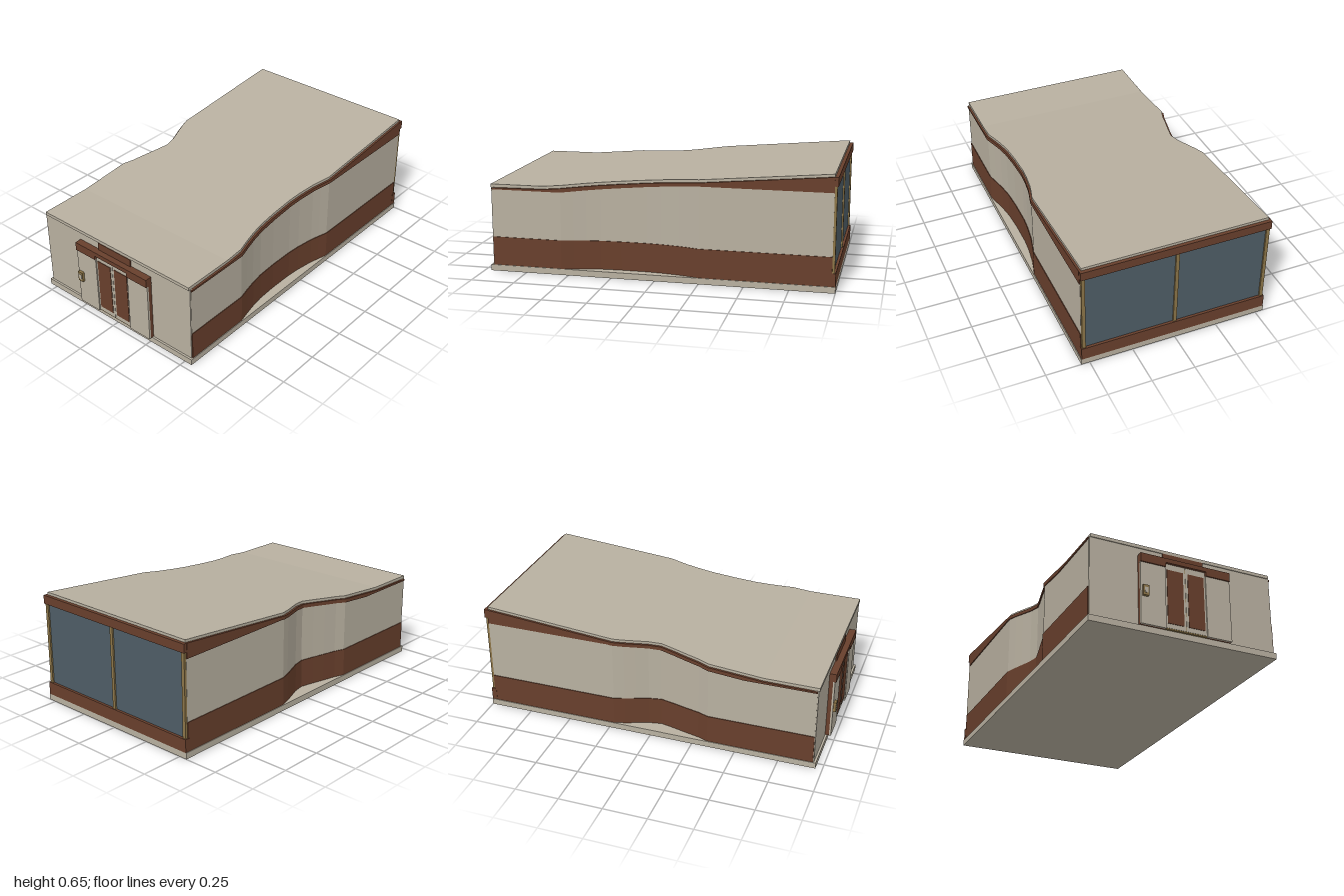
import * as THREE from 'three';

const mat = (name, color) => {
  const m = new THREE.MeshStandardMaterial({ color });
  m.name = name;
  return m;
};

// Piecewise linear lookup in [z, value] pairs sorted by rising z
function lerpAt(pts, z) {
  if (z <= pts[0][0]) return pts[0][1];
  for (let i = 1; i < pts.length; i++) {
    const [z0, v0] = pts[i - 1], [z1, v1] = pts[i];
    if (z <= z1) return v0 + (v1 - v0) * (z - z0) / (z1 - z0);
  }
  return pts[pts.length - 1][1];
}

// Solid with a rectangular section [x0, x1, y0, y1] at every z station
function loft(zs, section) {
  const pos = [], idx = [], n = zs.length;
  for (const z of zs) {
    const [x0, x1, y0, y1] = section(z);
    pos.push(x0, y0, z, x1, y0, z, x1, y1, z, x0, y1, z);
  }
  for (let i = 0; i < n - 1; i++) {
    for (let c = 0; c < 4; c++) {
      const a = i * 4 + c, a1 = i * 4 + (c + 1) % 4;
      idx.push(a, a1, a1 + 4, a, a1 + 4, a + 4);
    }
  }
  const e = (n - 1) * 4;
  idx.push(0, 2, 1, 0, 3, 2, e, e + 1, e + 2, e, e + 2, e + 3);
  const g = new THREE.BufferGeometry();
  g.setAttribute('position', new THREE.Float32BufferAttribute(pos, 3));
  g.setIndex(idx);
  const flat = g.toNonIndexed();
  flat.computeVertexNormals();
  return flat;
}

export function createModel() {
  const model = new THREE.Group();
  model.name = 'pavilion';
  const beige = mat('beige plaster', 0xb8b0a0);
  const brown = mat('brown cladding', 0x683f2c);
  const glass = mat('blue grey glass', 0x4e5d66);
  const tan = mat('bronze trim', 0x8c7548);

  const add = (name, geometry, material) => {
    const m = new THREE.Mesh(geometry, material);
    m.name = name;
    model.add(m);
  };
  // Box given by its limits
  const box = (name, material, x0, x1, y0, y1, z0, z1) => {
    const g = new THREE.BoxGeometry(x1 - x0, y1 - y0, z1 - z0);
    g.translate((x0 + x1) / 2, (y0 + y1) / 2, (z0 + z1) / 2);
    add(name, g, material);
  };

  // Distance of each side wall from the centre line
  const leftWall = [[-0.25, 0.54], [-0.19, 0.524], [-0.135, 0.511], [-0.03, 0.496], [0.05, 0.49],
    [0.2, 0.49], [0.32, 0.496], [0.4, 0.508], [0.47, 0.523], [0.54, 0.54]];
  const rightWall = [[-0.22, 0.54], [-0.16, 0.522], [-0.1, 0.5], [-0.03, 0.474], [0.04, 0.46],
    [0.12, 0.478], [0.2, 0.499], [0.28, 0.518], [0.34, 0.54]];
  const roofTop = [[-0.98, 0.65], [0.65, 0.506], [0.96, 0.505]];
  const roofUnder = [[-0.98, 0.635], [0.65, 0.49], [0.96, 0.486]];
  const beigeTop = [[-0.25, 0.55], [0.54, 0.477]];
  const bend = 0.65;

  // Base
  box('base', beige, -0.548, 0.548, 0, 0.035, -1, 0.962);

  // Curving side walls: plinth band, plaster and sloping fascia
  const wallBand = (name, material, side, wall, out, lo, hi) => {
    const zs = [...new Set([-0.98, ...wall.map(p => p[0]), -0.25, 0.54, bend, 0.945])].sort((a, b) => a - b);
    add(name, loft(zs, z => {
      const x = lerpAt(wall, z) + out;
      return side > 0 ? [x - 0.03, x, lo(z), hi(z)] : [-x, -x + 0.03, lo(z), hi(z)];
    }), material);
  };
  for (const [label, side, wall] of [['left', 1, leftWall], ['right', -1, rightWall]]) {
    wallBand(label + 'Plinth', brown, side, wall, 0.004, () => 0.035, () => 0.2);
    wallBand(label + 'Wall', beige, side, wall, 0, () => 0.19, z => lerpAt(beigeTop, z) + 0.005);
    wallBand(label + 'Fascia', brown, side, wall, 0.006, z => lerpAt(beigeTop, z), z => lerpAt(roofUnder, z));
  }

  // Roof slab following both walls
  const roofZ = [...new Set([-0.98, ...leftWall.map(p => p[0]), ...rightWall.map(p => p[0]), bend, 0.955])]
    .sort((a, b) => a - b);
  add('roof', loft(roofZ, z => [-lerpAt(rightWall, z) + 0.006, lerpAt(leftWall, z) - 0.006,
    lerpAt(roofUnder, z), lerpAt(roofTop, z)]), beige);

  // Front wall and entrance
  box('frontWall', beige, -0.538, 0.538, 0.035, 0.487, 0.93, 0.95);
  box('transomCladding', brown, -0.12, 0.12, 0.415, 0.485, 0.945, 0.957);
  box('headerTop', brown, -0.265, 0.265, 0.415, 0.44, 0.95, 0.99);
  for (const s of [-1, 1]) {
    const span = (name, material, a, b, ...rest) =>
      box(name, material, Math.min(s * a, s * b), Math.max(s * a, s * b), ...rest);
    span('headerEnd', brown, 0.12, 0.265, 0.39, 0.415, 0.95, 0.99);
    span('entrancePanelBack', brown, 0.122, 0.264, 0.036, 0.39, 0.95, 0.972);
    span('entrancePanel', beige, 0.12, 0.265, 0.035, 0.39, 0.972, 0.983);
    span('door', beige, 0.001, 0.12, 0.042, 0.415, 0.95, 0.976);
    span('doorPane', brown, 0.014, 0.109, 0.068, 0.38, 0.976, 0.979);
  }
  box('doorGap', tan, -0.001, 0.001, 0.042, 0.415, 0.95, 0.974);
  box('threshold', tan, -0.12, 0.12, 0.035, 0.042, 0.95, 0.974);

  // Entry keypad
  box('keypad', tan, -0.256, -0.223, 0.192, 0.252, 0.983, 0.998);
  box('keypadPlate', beige, -0.248, -0.229, 0.206, 0.237, 0.998, 1);

  // Glazed back wall
  box('backGlass', glass, -0.53, 0.53, 0.1, 0.6, -0.985, -0.975);
  box('backSill', brown, -0.545, 0.545, 0.035, 0.11, -1, -0.97);
  box('backFascia', brown, -0.545, 0.545, 0.585, 0.635, -1, -0.975);
  for (const x of [-0.529, 0, 0.529]) {
    box('mullion', tan, x - 0.01, x + 0.01, 0.11, 0.585, -0.994, -0.975);
  }
  return model;
}
